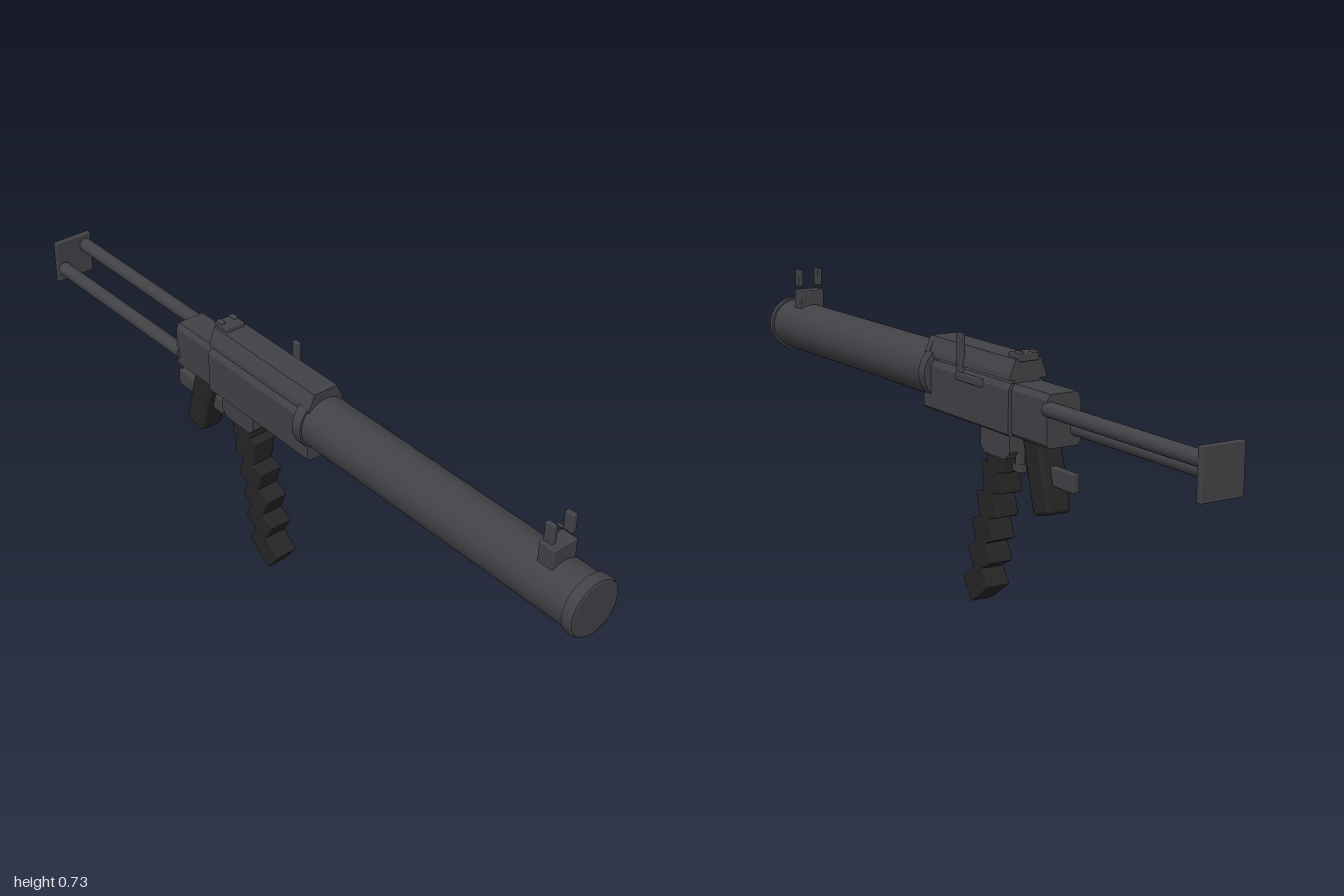
import * as THREE from 'three';
import { RoundedBoxGeometry } from 'three/addons/geometries/RoundedBoxGeometry.js';

export function createModel() {
  const model = new THREE.Group();
  const steel = new THREE.MeshStandardMaterial({ color: 0x424247 });
  steel.name = 'dark steel';
  const black = new THREE.MeshStandardMaterial({ color: 0x252526 });
  black.name = 'black polymer';

  const add = (name, geometry, material, x = 0, y = 0, z = 0, tilt = 0) => {
    const mesh = new THREE.Mesh(geometry, material);
    mesh.name = name;
    mesh.position.set(x, y, z);
    mesh.rotation.z = tilt;
    model.add(mesh);
    return mesh;
  };
  // Box given by its extents along each axis
  const box = (name, x0, x1, y0, y1, z0, z1, material = steel, r = 0.003) =>
    add(name, new RoundedBoxGeometry(x1 - x0, y1 - y0, z1 - z0, 2, r), material,
      (x0 + x1) / 2, (y0 + y1) / 2, (z0 + z1) / 2);
  // Round bar along x
  const rod = (name, x0, x1, y, z, r, sides = 20) =>
    add(name, new THREE.CylinderGeometry(r, r, x1 - x0, sides).rotateZ(Math.PI / 2), steel, (x0 + x1) / 2, y, z);
  // Cross-section in (z, y), mirrored about z = 0 and extruded along x
  const section = (name, x0, x1, half) => {
    const pts = [...half, ...half.slice().reverse().map(([z, y]) => [-z, y])];
    const shape = new THREE.Shape(pts.map(([z, y]) => new THREE.Vector2(z, y)));
    const g = new THREE.ExtrudeGeometry(shape, { depth: x1 - x0, bevelEnabled: false });
    g.rotateY(Math.PI / 2);
    return add(name, g, steel, x0);
  };

  // Barrel with a collar and a rounded end cap
  const axisY = 0.563;
  const barrelProfile = [[0, 0.08], [0.0755, 0.08], [0.0755, 0.11], [0.07, 0.11], [0.07, 0.972],
    [0.0755, 0.972], [0.0755, 0.99], [0.071, 0.998], [0.066, 1], [0, 1]];
  const profile = [];
  barrelProfile.forEach(([r, x], i) => {
    profile.push(new THREE.Vector2(r, x));
    // doubled points keep the profile corners sharp
    if (i > 0 && i < barrelProfile.length - 1) profile.push(new THREE.Vector2(r, x + 0.0001));
  });
  add('barrel', new THREE.LatheGeometry(profile, 40).rotateZ(-Math.PI / 2).scale(1, -1, 1), steel, 0, axisY);
  model.getObjectByName('barrel').geometry = barrelGeometry(barrelProfile);

  // Receiver: narrow rear, wider front and a front hood
  section('receiverRear', -0.43, -0.28, [[0.04, 0.472], [0.047, 0.48], [0.047, 0.585], [0.038, 0.6]]);
  section('receiver', -0.28, 0.117, [[0.05, 0.472], [0.056, 0.478], [0.056, 0.585], [0.046, 0.6]]);
  section('receiverHood', 0.095, 0.117, [[0.052, 0.59], [0.052, 0.618], [0.035, 0.657]]);

  // Top cover on spacers
  section('topCover', -0.28, 0.117, [[0.052, 0.607], [0.05, 0.62], [0.035, 0.657]]);
  box('coverSpacerRear', -0.28, -0.262, 0.595, 0.612, -0.035, 0.035);
  box('coverSpacerMiddle', -0.02, 0, 0.595, 0.612, -0.035, 0.035);

  // Rear sight
  box('rearSightBase', -0.285, -0.235, 0.65, 0.669, -0.028, 0.028);
  for (const s of [-1, 1]) box('rearSightEar', -0.283, -0.26, 0.66, 0.674, s * 0.02 - 0.007, s * 0.02 + 0.007);

  // Charging handle and its guide on the far side
  box('handleGuide', -0.165, -0.045, 0.572, 0.592, -0.062, -0.05);
  box('chargingHandle', -0.067, -0.044, 0.58, 0.689, -0.057, -0.044);

  // Front sight
  box('frontSightBase', 0.856, 0.902, 0.615, 0.675, -0.036, 0.036);
  for (const s of [-1, 1]) box('frontSightEar', 0.867, 0.894, 0.686, 0.735, s * 0.03 - 0.007, s * 0.03 + 0.007);
  rod('frontSightBead', 0.874, 0.887, 0.714, 0, 0.004, 10);

  // Stock: two diagonal rods and a butt plate
  rod('stockRodUpper', -0.99, -0.42, 0.564, -0.037, 0.019);
  rod('stockRodLower', -0.99, -0.42, 0.513, 0.037, 0.019);
  box('buttPlate', -1, -0.984, 0.476, 0.597, -0.057, 0.057);

  // Grip with the lever through it, and the trigger
  add('grip', new RoundedBoxGeometry(0.07, 0.19, 0.07, 3, 0.012), black, -0.362, 0.392, 0, -0.27);
  box('gripLever', -0.482, -0.292, 0.373, 0.418, -0.01, 0.01);
  box('trigger', -0.256, -0.24, 0.385, 0.48, -0.01, 0.01);
  box('triggerTip', -0.262, -0.228, 0.373, 0.393, -0.01, 0.01);

  // Magazine well
  const well = new THREE.Shape([[-0.255, 0.48], [-0.255, 0.425], [-0.235, 0.405], [-0.14, 0.405], [-0.125, 0.42], [-0.125, 0.48]]
    .map(([x, y]) => new THREE.Vector2(x, y)));
  add('magazineWell', new THREE.ExtrudeGeometry(well, { depth: 0.072, bevelEnabled: false }), steel, 0, 0, -0.036);

  // Curved magazine of stepped blocks: x, y, width, height, tilt in degrees
  const blocks = [[-0.182, 0.405, 0.07, 0.08, 0], [-0.166, 0.345, 0.077, 0.08, -9], [-0.145, 0.272, 0.08, 0.074, -17],
    [-0.126, 0.203, 0.085, 0.072, -23], [-0.113, 0.135, 0.09, 0.07, -29], [-0.094, 0.06, 0.1, 0.072, -36]];
  for (const [x, y, w, h, deg] of blocks) {
    add('magazineBlock', new RoundedBoxGeometry(w, h, 0.065, 2, 0.004), black, x, y, 0, THREE.MathUtils.degToRad(deg));
  }
  return model;
}

// Solid of revolution along x, one sharp-edged band per profile step
function barrelGeometry(profile, sides = 40) {
  const pos = [], nor = [], idx = [];
  for (let i = 0; i < profile.length - 1; i++) {
    const [r0, x0] = profile[i], [r1, x1] = profile[i + 1];
    const len = Math.hypot(x1 - x0, r1 - r0);
    const nx = (r0 - r1) / len, nr = (x1 - x0) / len;
    for (let j = 0; j <= sides; j++) {
      const a = (j / sides) * Math.PI * 2, c = Math.cos(a), s = Math.sin(a);
      const k = pos.length / 3;
      pos.push(x0, r0 * c, r0 * s, x1, r1 * c, r1 * s);
      nor.push(nx, nr * c, nr * s, nx, nr * c, nr * s);
      if (j < sides) idx.push(k, k + 2, k + 1, k + 1, k + 2, k + 3);
    }
  }
  const g = new THREE.BufferGeometry();
  g.setAttribute('position', new THREE.Float32BufferAttribute(pos, 3));
  g.setAttribute('normal', new THREE.Float32BufferAttribute(nor, 3));
  g.setIndex(idx);
  return g;
}
